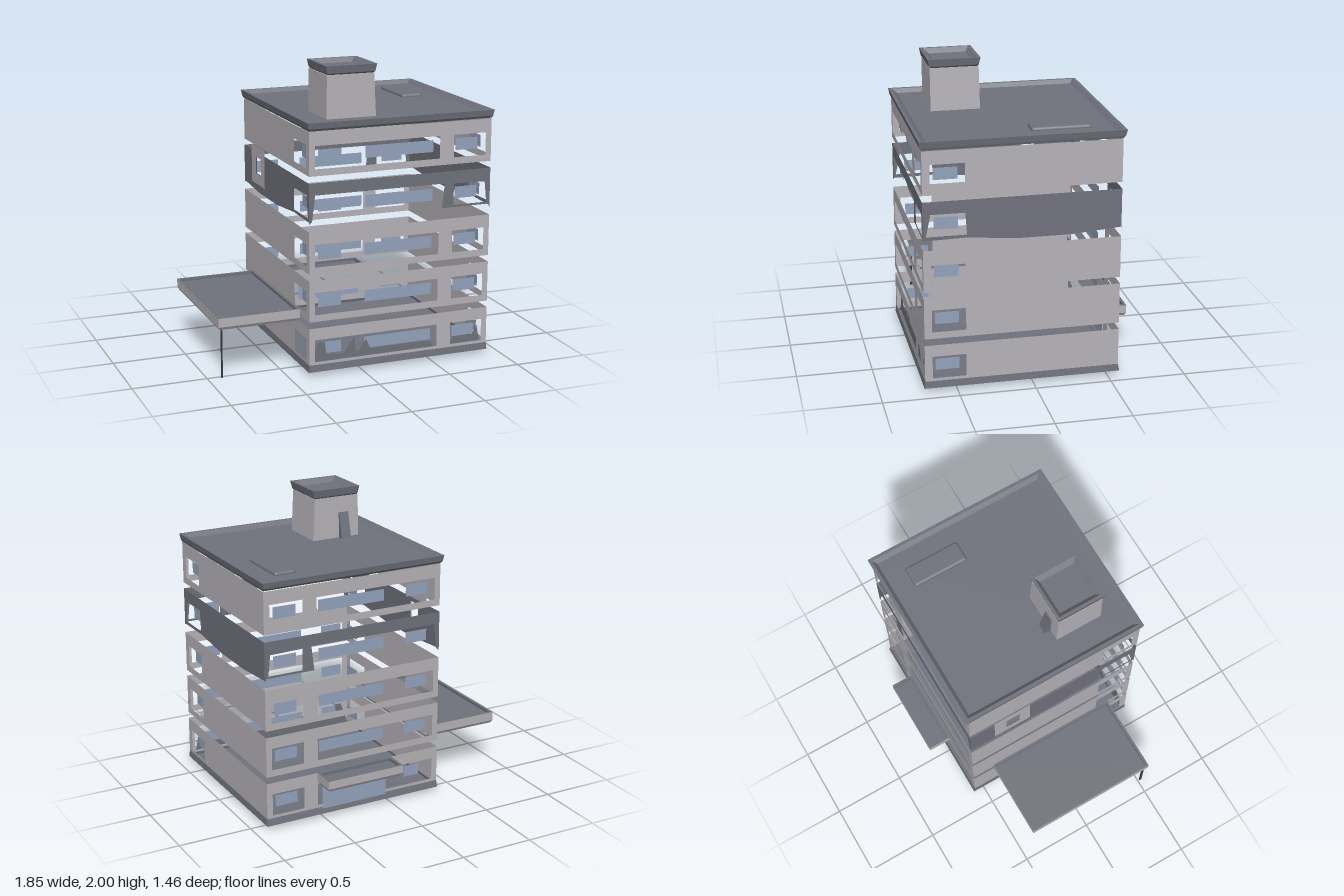
import * as THREE from 'three';
import { RoundedBoxGeometry } from 'three/addons/geometries/RoundedBoxGeometry.js';

const mat = (name, color) => {
  const m = new THREE.MeshStandardMaterial({ color, side: THREE.DoubleSide });
  m.name = name;
  return m;
};

// Closed skin through rectangular loops [x0, x1, z0, z1, y], flat shaded
function loft(loops, capBottom = true, capTop = true) {
  const corners = ([x0, x1, z0, z1, y]) => [[x0, y, z1], [x1, y, z1], [x1, y, z0], [x0, y, z0]];
  const pos = [];
  const quad = (a, b, c, d) => pos.push(...a, ...b, ...c, ...a, ...c, ...d);
  const rings = loops.map(corners);
  for (let i = 0; i + 1 < rings.length; i++) {
    for (let k = 0; k < 4; k++) {
      const n = (k + 1) % 4;
      quad(rings[i][k], rings[i][n], rings[i + 1][n], rings[i + 1][k]);
    }
  }
  if (capBottom) quad(...[...rings[0]].reverse());
  if (capTop) quad(...rings[rings.length - 1]);
  const g = new THREE.BufferGeometry();
  g.setAttribute('position', new THREE.Float32BufferAttribute(pos, 3));
  g.computeVertexNormals();
  return g;
}

// Building footprint
const X0 = -0.37, X1 = 0.91, Z0 = -0.57, Z1 = 0.71;

// The four facades: sign maps the u coordinate (x or z) to the sheet's local x
const SIDES = {
  front: { rot: 0, sign: 1, at: [0, 0, Z1], dir: [0, 0, 1] },
  back: { rot: Math.PI, sign: -1, at: [0, 0, Z0], dir: [0, 0, -1] },
  left: { rot: Math.PI / 2, sign: -1, at: [X1, 0, 0], dir: [1, 0, 0] },
  right: { rot: -Math.PI / 2, sign: 1, at: [X0, 0, 0], dir: [-1, 0, 0] },
};
const rect = (u0, u1, y0, y1) => [[u0, y0], [u1, y0], [u1, y1], [u0, y1]];

// Flat sheet on one facade, pushed out (or in) by offset
function sheet(side, outline, holes = [], offset = 0) {
  const { rot, sign, at, dir } = SIDES[side];
  const pts = (p) => p.map(([u, y]) => new THREE.Vector2(sign * u, y));
  const shape = new THREE.Shape(pts(outline));
  holes.forEach((h) => shape.holes.push(new THREE.Path(pts(h))));
  const g = new THREE.ShapeGeometry(shape);
  g.rotateY(rot);
  g.translate(...at.map((v, i) => v + dir[i] * offset));
  return g;
}

export function createModel() {
  const wall = mat('pale concrete', 0xb6b3b8);
  const slate = mat('slate grey', 0x70727c);
  const glass = mat('blue glass', 0x93a3bc);
  const dark = mat('dark metal', 0x3c3c40);

  const model = new THREE.Group();
  model.name = 'officeBuilding';
  const add = (name, geometry, material, parent = model) => {
    const m = new THREE.Mesh(geometry, material);
    m.name = name;
    parent.add(m);
    return m;
  };

  // Storeys: hollow wall bands with open gaps between them
  const floors = [[0.05, 0.325], [0.37, 0.645], [0.69, 0.97], [1.01, 1.29], [1.335, 1.62]];
  floors.forEach(([y0, y1], i) => {
    const storey = new THREE.Group();
    storey.name = 'storey' + (i + 1);
    model.add(storey);
    const h0 = y0 + 0.045, h1 = y0 + 0.195;
    const w0 = y0 + 0.083, w1 = y0 + 0.162;
    const ground = i === 0, slateFloor = i === 3;

    for (const side of Object.keys(SIDES)) {
      const long = side === 'front' || side === 'back';
      let outline, holes;
      if (slateFloor && long) {
        // Slate storey: hanging band on slanted piers
        outline = [[X0, y1], [X0, 1.02], [-0.35, 1.04], [-0.33, 1.21], [0.58, 1.21],
          [0.56, 1.045], [0.9, 1.045], [X1, 1.02], [X1, y1]];
        holes = [[[0.645, 1.06], [0.885, 1.06], [0.87, 1.2], [0.645, 1.21 - 0.005]]];
      } else if (slateFloor) {
        outline = [[Z1, y1], [Z1, 1.035], [0.43, 1.04], [0.1, 1.01], [-0.25, 1.01], [Z0, 1.035], [Z0, y1]];
        holes = [[[0.43, 1.06], [0.69, 1.06], [0.66, h1], [0.44, h1]]];
        if (side === 'right') holes.push(rect(-0.3, -0.2, 1.14, 1.26));
      } else if (long) {
        outline = rect(X0, X1, y0, y1);
        holes = [rect(-0.33, 0.54, h0, h1), rect(0.64, 0.87, h0, h1)];
      } else {
        outline = rect(Z0, Z1, y0, y1);
        holes = [rect(0.44, 0.66, h0, h1)];
      }
      add(side + 'Wall', sheet(side, outline, holes), slateFloor ? slate : wall, storey);

      // Recessed panes
      const panes = long
        ? [[ground ? -0.25 : -0.295, -0.135], [0.03, 0.51], [0.67, 0.83]]
        : [[0.48, 0.635]];
      panes.forEach(([a, b], k) => {
        const door = ground && side === 'back' && k === 1;
        const pane = door ? rect(a, b, 0.055, 0.22) : rect(a, b, w0, w1);
        add(door ? 'entranceDoor' : 'windowPane', sheet(side, pane, [], door ? 0.003 : -0.04), glass, storey);
      });
    }
  });

  // Slate lining below the ground floor windows
  const lining = [
    [[-0.36, 0.05], [-0.3, 0.215], [-0.25, 0.21], [-0.24, 0.13], [-0.12, 0.12], [-0.04, 0.23],
      [-0.03, 0.1], [0.04, 0.2], [0.07, 0.13], [0.5, 0.13], [0.55, 0.05]],
    [[0.64, 0.08], [0.68, 0.135], [0.82, 0.135], [0.85, 0.2], [0.875, 0.08]],
  ];
  lining.forEach((p) => add('groundLining', sheet('front', p, [], -0.03), slate));

  // Dished base
  add('base', loft([
    [-0.1, 0.65, -0.25, 0.35, 0.003],
    [-0.375, 0.915, -0.58, 0.715, 0.028],
    [X0, X1, Z0, Z1, 0.075],
  ], true, false), slate);

  // Roof with flared parapet and sunken deck
  add('roof', loft([
    [X0, X1, Z0, Z1, 1.625],
    [-0.378, 0.915, -0.585, 0.72, 1.64],
    [-0.385, 0.922, -0.592, 0.727, 1.68],
    [-0.36, 0.9, -0.57, 0.705, 1.68],
    [-0.335, 0.875, -0.545, 0.67, 1.655],
  ]), slate);
  const skylight = add('skylight', new RoundedBoxGeometry(0.15, 0.04, 0.39, 3, 0.018), slate);
  skylight.position.set(0.675, 1.657, -0.215);

  // Stair tower, its cap and its back door
  add('stairTower', loft([
    [-0.178, 0.165, 0.195, 0.525, 1.655],
    [-0.178, 0.15, 0.2, 0.525, 1.94],
  ]), wall);
  add('towerCap', loft([
    [-0.165, 0.14, 0.21, 0.51, 1.935],
    [-0.178, 0.155, 0.2, 0.53, 1.95],
    [-0.186, 0.165, 0.19, 0.54, 2.0],
    [-0.165, 0.143, 0.21, 0.515, 2.0],
    [-0.135, 0.112, 0.235, 0.485, 1.97],
  ]), slate);
  add('towerDoor', loft([
    [-0.1, -0.03, 0.15, 0.2, 1.655],
    [-0.1, -0.03, 0.192, 0.2, 1.83],
  ]), slate);

  // Shallow tray roofs: pale edge, slate inside
  const tray = (name, x0, x1, z0, z1, y0, y1, rim) => {
    const g = new THREE.Group();
    g.name = name;
    model.add(g);
    add('edge', loft([
      [x0 + 0.012, x1 - 0.012, z0 + 0.012, z1 - 0.012, y0],
      [x0, x1, z0, z1, y0 + 0.02],
      [x0, x1, z0, z1, y1],
    ], true, false), wall, g);
    add('deck', loft([
      [x0, x1, z0, z1, y1],
      [x0 + rim, x1 - rim, z0 + rim, z1 - rim, y1],
      [x0 + rim, x1 - rim, z0 + rim, z1 - rim, y1 - 0.02],
    ], false, true), slate, g);
  };
  tray('sideCanopy', -0.93, X0, -0.41, 0.54, 0.33, 0.41, 0.018);
  tray('entranceCanopy', -0.01, 0.545, -0.73, Z0, 0.25, 0.325, 0.018);

  // Slender canopy post
  const post = add('canopyPost', new THREE.BoxGeometry(0.007, 0.335, 0.018), dark);
  post.position.set(-0.905, 0.1675, 0.52);

  // Framed vent on the right wall
  add('ventFrame', sheet('right', rect(-0.39, -0.12, 1.07, 1.335), [rect(-0.3, -0.2, 1.14, 1.26)], 0.008), wall);

  return model;
}
